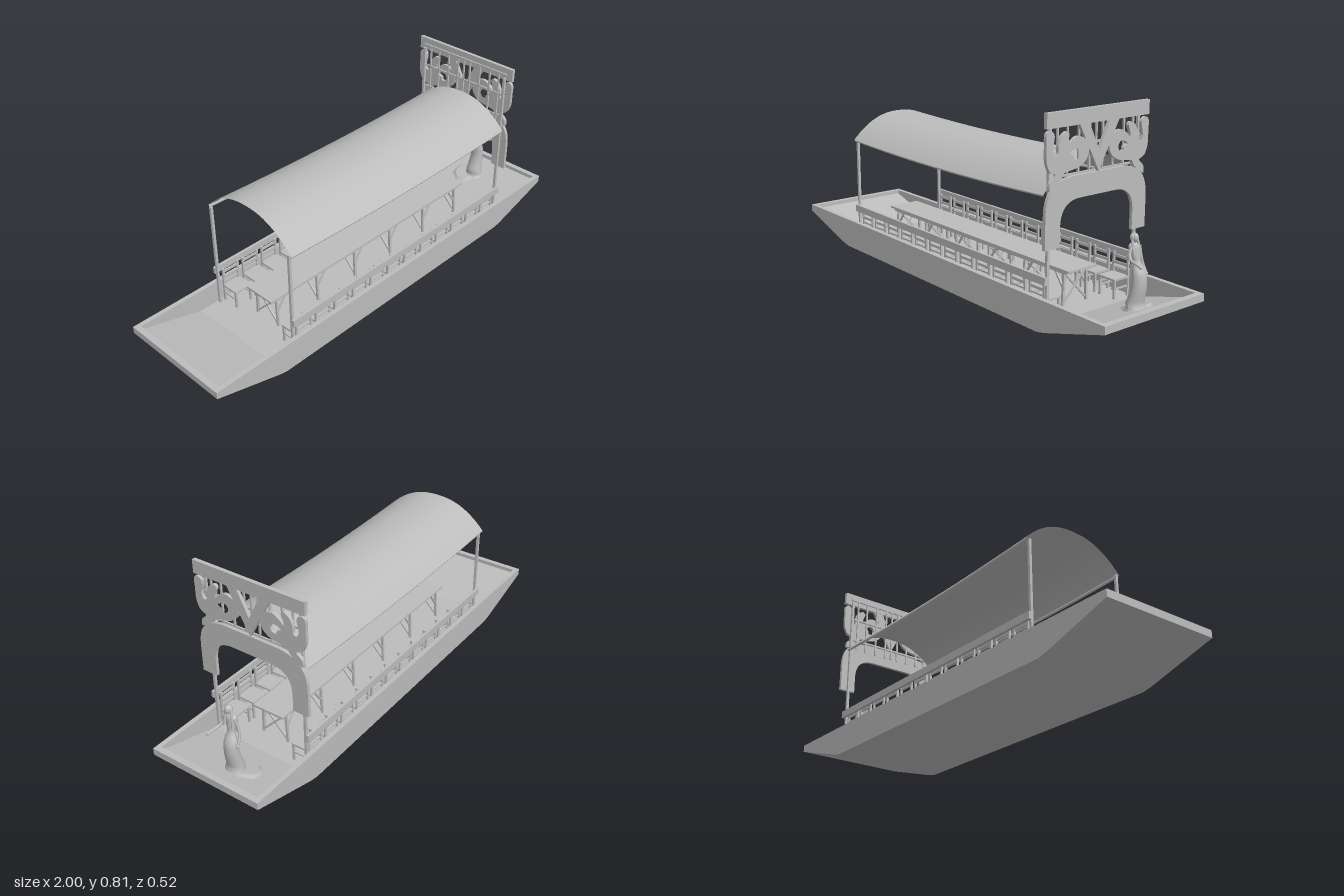
import * as THREE from 'three';

const grey = new THREE.MeshStandardMaterial({ color: 0xbcbcbc });
grey.name = 'plain grey';
const greySheet = new THREE.MeshStandardMaterial({ color: 0xbcbcbc, side: THREE.DoubleSide });
greySheet.name = 'plain grey sheet';

const V = (x, y, z) => new THREE.Vector3(x, y, z);
const P = (x, y) => new THREE.Vector2(x, y);

function add(parent, name, geometry, x = 0, y = 0, z = 0, material = grey) {
  const m = new THREE.Mesh(geometry, material);
  m.name = name;
  m.position.set(x, y, z);
  parent.add(m);
  return m;
}

const box = (parent, name, sx, sy, sz, x, y, z) => add(parent, name, new THREE.BoxGeometry(sx, sy, sz), x, y, z);

// straight square bar between two points
function bar(parent, name, a, b, w) {
  const m = box(parent, name, w, w, a.distanceTo(b), 0, 0, 0);
  m.position.copy(a).add(b).multiplyScalar(0.5);
  m.lookAt(b);
  return m;
}

function group(parent, name) {
  const g = new THREE.Group();
  g.name = name;
  parent.add(g);
  return g;
}

const extrude = (shape, depth) =>
  new THREE.ExtrudeGeometry(shape, { depth, bevelEnabled: false, curveSegments: 10 });

// flat-bottomed hull with raked ends and an open inside
function buildHull(root) {
  const hull = group(root, 'hull');
  const outer = [[-1, 0.132], [-1, 0.102], [-0.7, 0.012], [-0.66, 0.004], [0.66, 0.004], [0.7, 0.012], [1, 0.102], [1, 0.132]];
  const inner = [[0.975, 0.132], [0.975, 0.115], [0.69, 0.035], [-0.69, 0.035], [-0.975, 0.115], [-0.975, 0.132]];
  const toShape = pts => new THREE.Shape(pts.map(p => P(...p)));
  add(hull, 'bottom and ends', extrude(toShape([...outer, ...inner]), 0.48), 0, 0, -0.24);
  for (const s of [-1, 1]) add(hull, 'side wall', extrude(toShape(outer), 0.02), 0, 0, s * 0.246 - 0.01);
}

// sagging arched canopy with edge rails and posts
function buildCanopy(root) {
  const canopy = group(root, 'canopy');
  const sag = x => -0.014 * (1 - ((x - 0.035) / 0.635) ** 2);
  const sheet = new THREE.PlaneGeometry(1.27, 1, 16, 32);
  const p = sheet.attributes.position;
  for (let i = 0; i < p.count; i++) {
    const a = -p.getY(i) * Math.PI, x = p.getX(i) + 0.035;
    const u = Math.sin(a);
    p.setXYZ(i, x, 0.515 + 0.112 * (1 - Math.abs(u) ** 2.3) + sag(x), u * 0.242);
  }
  sheet.computeVertexNormals();
  add(canopy, 'canopy sheet', sheet, 0, 0, 0, greySheet);
  for (const s of [-1, 1]) {
    const edge = new THREE.CatmullRomCurve3([-0.6, -0.3, 0.035, 0.35, 0.67].map(x => V(x, 0.513 + sag(x), s * 0.236)));
    add(canopy, 'edge rail', new THREE.TubeGeometry(edge, 16, 0.006, 6), 0, 0, 0);
    box(canopy, 'rear post', 0.011, 0.485, 0.011, -0.597, 0.272, s * 0.224);
    box(canopy, 'front post', 0.011, 0.73, 0.011, 0.676, 0.4, s * 0.223);
  }
}

// long table on crossed trestles
function buildTable(root) {
  const table = group(root, 'table');
  box(table, 'table top', 1.2, 0.009, 0.146, 0.03, 0.181, 0);
  for (const s of [-1, 1]) box(table, 'apron', 1.16, 0.012, 0.006, 0.03, 0.17, s * 0.06);
  for (let i = 0; i < 6; i++) {
    const x = -0.53 + i * 0.224;
    for (const s of [-1, 1]) {
      bar(table, 'table leg', V(x, 0.035, s * 0.062), V(x, 0.177, s * 0.056), 0.01);
      bar(table, 'brace', V(x, 0.1, s * 0.058), V(x + (i < 5 ? 0.05 : -0.05), 0.172, s * 0.058), 0.007);
    }
    bar(table, 'cross brace', V(x, 0.05, -0.055), V(x, 0.165, 0.055), 0.007);
    bar(table, 'cross brace', V(x, 0.05, 0.055), V(x, 0.165, -0.055), 0.007);
  }
}

// one row of chairs with a shared hand rail on each side
function buildSeats(root) {
  for (const s of [-1, 1]) {
    const row = group(root, s > 0 ? 'left seats' : 'right seats');
    box(row, 'hand rail', 1.29, 0.03, 0.012, 0.04, 0.197, s * 0.236);
    for (let i = 0; i < 12; i++) {
      const x = -0.535 + i * 0.105;
      box(row, 'seat', 0.085, 0.008, 0.08, x, 0.112, s * 0.18);
      for (const y of [0.182, 0.155]) box(row, 'back slat', 0.085, 0.011, 0.006, x, y, s * 0.219);
      for (const t of [-1, 1]) {
        box(row, 'back leg', 0.009, 0.165, 0.009, x + t * 0.038, 0.115, s * 0.219);
        box(row, 'front leg', 0.009, 0.078, 0.009, x + t * 0.038, 0.073, s * 0.146);
        box(row, 'side rung', 0.006, 0.006, 0.073, x + t * 0.038, 0.075, s * 0.182);
      }
      box(row, 'back rung', 0.08, 0.007, 0.006, x, 0.132, s * 0.219);
    }
  }
}

// carved gate across the bow
function buildGate(root) {
  const gate = group(root, 'gate');
  const panel = (name, shape, d = 0.014) => {
    const m = add(gate, name, extrude(shape, d), 0.685, 0, 0);
    m.rotation.y = Math.PI / 2;
    return m;
  };
  box(gate, 'top board', 0.016, 0.056, 0.514, 0.692, 0.782, 0);

  const arch = new THREE.Shape();
  arch.moveTo(-0.257, 0.318);
  arch.lineTo(-0.257, 0.44);
  arch.bezierCurveTo(-0.257, 0.54, -0.2, 0.572, -0.11, 0.572);
  arch.lineTo(0.11, 0.572);
  arch.bezierCurveTo(0.2, 0.572, 0.257, 0.54, 0.257, 0.44);
  arch.lineTo(0.257, 0.318);
  arch.lineTo(0.186, 0.318);
  arch.lineTo(0.186, 0.39);
  arch.bezierCurveTo(0.186, 0.46, 0.15, 0.488, 0.09, 0.488);
  arch.lineTo(-0.09, 0.488);
  arch.bezierCurveTo(-0.15, 0.488, -0.186, 0.46, -0.186, 0.39);
  arch.lineTo(-0.186, 0.318);
  panel('arch', arch);

  const wedge = [[-0.1, 0.756], [0, 0.572], [0.1, 0.756], [0.052, 0.756], [0, 0.65], [-0.052, 0.756]];
  panel('centre wedge', new THREE.Shape(wedge.map(q => P(...q))));

  // flame-shaped scroll, mirrored
  const scroll = [[0.238, 0.532], [0.237, 0.56], [0.212, 0.586], [0.238, 0.6], [0.255, 0.635], [0.257, 0.69], [0.255, 0.738],
    [0.24, 0.746], [0.222, 0.735], [0.22, 0.715], [0.227, 0.68], [0.217, 0.655], [0.202, 0.66], [0.2, 0.69], [0.185, 0.722],
    [0.16, 0.736], [0.149, 0.725], [0.158, 0.7], [0.16, 0.68], [0.14, 0.698], [0.11, 0.713], [0.07, 0.7], [0.051, 0.662],
    [0.062, 0.627], [0.095, 0.603], [0.14, 0.594], [0.172, 0.588], [0.184, 0.567], [0.21, 0.548]];
  const hole = [[0.148, 0.655], [0.13, 0.668], [0.108, 0.668], [0.098, 0.652], [0.107, 0.633], [0.125, 0.632], [0.128, 0.645]];
  for (const s of [-1, 1]) {
    const ring = pts => new THREE.CatmullRomCurve3(pts.map(q => V(s * q[0], q[1], 0)), true)
      .getPoints(pts.length * 4).slice(0, -1).map(v => P(v.x, v.y));
    const shape = new THREE.Shape(ring(scroll));
    shape.holes.push(new THREE.Path(ring(hole)));
    panel('scroll', shape);
  }

  // lattice holding the carving from behind
  for (const z of [0, 0.033, 0.087, 0.142, 0.19])
    for (const s of z ? [-1, 1] : [1]) box(gate, 'lattice upright', 0.007, 0.25, 0.007, 0.681, 0.655, s * z);
  for (const y of [0.575, 0.68, 0.78]) box(gate, 'lattice rail', 0.007, 0.008, 0.46, 0.681, y, 0);
}

// woman in a long dress standing in the bow
function buildFigure(root) {
  const figure = group(root, 'figure');
  figure.position.set(0.87, 0, -0.036);
  const profile = [[0.055, 0.074], [0.042, 0.09], [0.035, 0.13], [0.031, 0.18], [0.029, 0.22], [0.025, 0.24], [0.016, 0.267],
    [0.021, 0.29], [0.024, 0.305], [0.026, 0.322], [0.019, 0.333], [0.007, 0.338], [0.007, 0.352]];
  const body = new THREE.LatheGeometry(new THREE.SplineCurve(profile.map(q => P(...q))).getPoints(40), 20);
  const p = body.attributes.position;
  for (let i = 0; i < p.count; i++) {
    const y = p.getY(i), t = THREE.MathUtils.clamp((y - 0.22) / 0.12, 0, 1);
    p.setX(i, p.getX(i) * (0.85 - 0.25 * t) + 0.012 * Math.sin((0.27 - y) * 22) * (y > 0.1 ? 1 : 0));
    p.setZ(i, p.getZ(i) + 0.01 * t);
  }
  body.computeVertexNormals();
  add(figure, 'dress and torso', body, 0, 0, 0, greySheet);
  const train = add(figure, 'dress train', new THREE.CylinderGeometry(0.05, 0.068, 0.012, 7), -0.025, 0.082, -0.035);
  train.rotation.z = 0.27;
  add(figure, 'head', new THREE.SphereGeometry(0.013, 16, 12), -0.002, 0.358, 0.015).scale.set(1, 1.35, 0.9);
  add(figure, 'hair', new THREE.SphereGeometry(0.016, 16, 12), -0.008, 0.358, 0.015).scale.set(0.9, 1.1, 1);
  const limb = (name, pts, r) =>
    add(figure, name, new THREE.TubeGeometry(new THREE.CatmullRomCurve3(pts), 14, r, 8), 0, 0, 0);
  limb('left arm', [V(-0.004, 0.326, 0.03), V(-0.002, 0.3, 0.041), V(0.01, 0.283, 0.046), V(0.04, 0.277, 0.052), V(0.064, 0.272, 0.056)], 0.0055);
  limb('right arm', [V(-0.004, 0.326, -0.012), V(-0.008, 0.29, -0.024), V(-0.004, 0.255, -0.031), V(0.012, 0.22, -0.034)], 0.0055);
  for (const [i, s] of [-1, 1].entries())
    limb('hair lock', [V(-0.008, 0.365, 0.015 + s * 0.009), V(-0.002, 0.335, 0.012 + s * 0.015), V(0.006, 0.285 + i * 0.012, 0.008 + s * 0.018)], 0.005);
  add(figure, 'left hand', new THREE.SphereGeometry(0.007, 10, 8), 0.066, 0.272, 0.057);
  add(figure, 'right hand', new THREE.SphereGeometry(0.007, 10, 8), 0.013, 0.219, -0.034);
}

export function createModel() {
  const root = new THREE.Group();
  root.name = 'canopied river boat';
  for (const build of [buildHull, buildCanopy, buildTable, buildSeats, buildGate, buildFigure]) build(root);
  return root;
}
